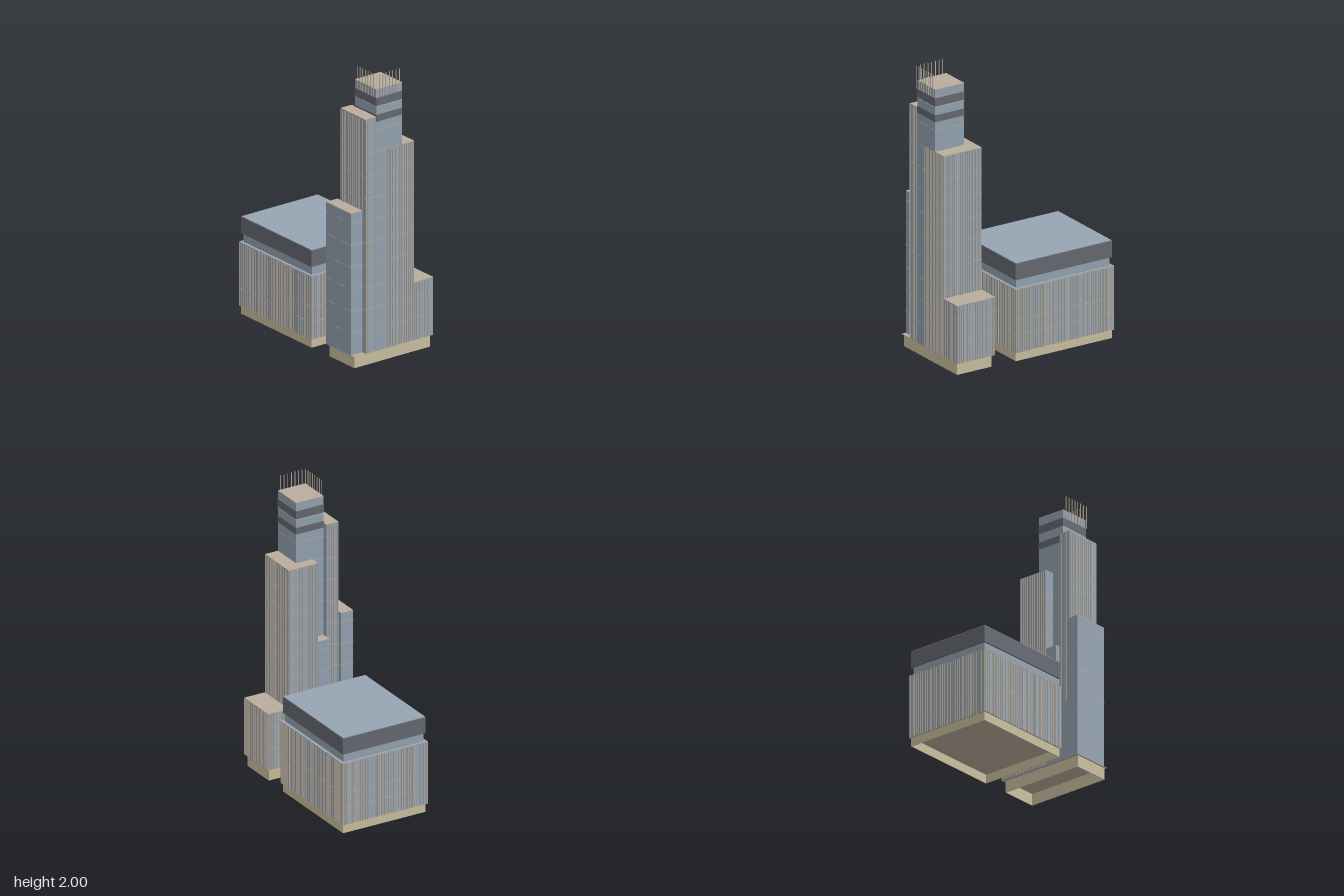
import * as THREE from 'three';
import { mergeGeometries } from 'three/addons/utils/BufferGeometryUtils.js';

const mat = (name, color) => Object.assign(new THREE.MeshStandardMaterial({ color }), { name });

export function createModel() {
  const model = new THREE.Group();
  model.name = 'officeComplex';
  const glass = mat('blueGreyGlass', 0x96a5b3);
  const tan = mat('tanTrim', 0xb9ad9d);
  const sand = mat('sandStone', 0xcbc0a0);
  const dark = mat('darkBand', 0x666a73);

  // small seeded generator for the uneven fin spacing
  let seed = 7;
  const rand = () => (seed = (seed * 16807) % 2147483647) / 2147483647;

  // box geometry from its limits
  const boxGeo = (x0, x1, y0, y1, z0, z1) =>
    new THREE.BoxGeometry(x1 - x0, y1 - y0, z1 - z0)
      .translate((x0 + x1) / 2, (y0 + y1) / 2, (z0 + z1) / 2);

  const add = (parent, name, material, geos) => {
    const mesh = new THREE.Mesh(Array.isArray(geos) ? mergeGeometries(geos) : geos, material);
    mesh.name = name;
    parent.add(mesh);
    return mesh;
  };

  // upright fins on a wall; axis is the direction in which the wall runs
  const fins = (axis, a0, a1, face, y0, y1, pitch = 0.018) => {
    const out = [];
    for (let a = a0 + 0.004; a < a1 - 0.002; a += pitch * (0.6 + 0.8 * rand())) {
      const w = 0.0022, d = 0.004;
      out.push(axis === 'x'
        ? boxGeo(a - w, a + w, y0, y1, face - d, face + d)
        : boxGeo(face - d, face + d, y0, y1, a - w, a + w));
    }
    return out;
  };

  // thin floor lines wrapping a block
  const floorLines = (x0, x1, z0, z1, levels, e = 0.0015) =>
    levels.map((y) => boxGeo(x0 - e, x1 + e, y - 0.002, y + 0.002, z0 - e, z1 + e));

  // hollow plinth, open below
  const plinth = (parent, x0, x1, z0, z1, h, t = 0.004) =>
    add(parent, 'plinth', sand, [
      boxGeo(x0, x1, 0, h, z0, z0 + t), boxGeo(x0, x1, 0, h, z1 - t, z1),
      boxGeo(x0, x0 + t, 0, h, z0, z1), boxGeo(x1 - t, x1, 0, h, z0, z1),
    ]);

  // ---- stepped tower ----
  const tower = new THREE.Group();
  tower.name = 'tower';
  model.add(tower);
  const Y0 = 0.085, Z0 = 0.312, Z1 = 0.606;
  plinth(tower, -0.31, 0.305, 0.33, 0.595, Y0 - 0.004);
  add(tower, 'towerFloorSlab', tan, boxGeo(-0.322, 0.321, Y0 - 0.004, Y0, Z0, Z1));

  // name, x0, x1, z0, z1, height
  const blocks = [
    ['lowWing', 0.165, 0.321, Z0, Z1, 0.485],
    ['sideWing', -0.322, -0.23, Z0, 0.575, 1.07],
    ['tallWing', -0.23, -0.14, 0.345, Z1, 1.71],
    ['crownShaft', -0.14, 0.067, 0.382, Z1, 1.9],
    ['mainWingBack', -0.055, 0.165, Z0, 0.382, 1.47],
    ['mainWing', 0.067, 0.165, 0.382, Z1, 1.47],
    ['rearStep', -0.14, -0.055, Z0, 0.382, 0.91],
    ['rearCorner', -0.23, -0.14, Z0, 0.345, 0.485],
  ];
  for (const [name, x0, x1, z0, z1, h] of blocks) {
    const g = new THREE.Group();
    g.name = name;
    tower.add(g);
    add(g, 'walls', glass, boxGeo(x0, x1, Y0, h - 0.004, z0, z1));
    add(g, 'roof', tan, boxGeo(x0, x1, h - 0.004, h, z0, z1));
    const levels = [];
    for (let y = 0.235; y < Math.min(h, 1.65) - 0.02; y += 0.1535) levels.push(y);
    add(g, 'floorLines', tan, floorLines(x0, x1, z0, z1, levels, 0.001));
  }

  // tower fins
  add(tower, 'frontFins', tan, [
    ...fins('x', -0.23, -0.14, Z1, Y0, 1.7, 0.02),
    ...fins('x', -0.055, 0.165, Z1, Y0, 1.465, 0.015),
    ...fins('x', 0.165, 0.32, Z1, Y0, 0.48, 0.02),
  ]);
  add(tower, 'rightFins', tan, [
    ...fins('z', Z0, Z1, 0.165, 0.48, 1.465),
    ...fins('z', Z0, Z1, 0.321, Y0, 0.48),
  ]);
  add(tower, 'rearFins', tan, [
    ...fins('x', -0.055, 0.165, Z0, Y0, 1.465),
    ...fins('x', 0.165, 0.321, Z0, Y0, 0.48),
    ...fins('x', -0.23, -0.14, 0.345, 0.485, 1.7, 0.022),
  ]);
  add(tower, 'leftFins', tan, fins('z', 0.345, Z1, -0.23, 1.07, 1.7, 0.022));

  // dark belts round the crown
  for (const [y0, y1] of [[1.675, 1.722], [1.783, 1.84]])
    add(tower, 'crownBelt', dark, boxGeo(-0.142, 0.069, y0, y1, 0.38, 0.608));
  add(tower, 'crownLine', tan, floorLines(-0.14, 0.067, 0.382, Z1, [1.778]));

  // rows of masts on the crown's front and left edges
  const masts = [];
  for (let i = 0; i < 8; i++) {
    const x = -0.143 + i * 0.0268, z = 0.609 - i * 0.0287, r = 0.0022;
    masts.push(boxGeo(x - r, x + r, 1.84, 2, 0.609 - r, 0.609 + r));
    if (i) masts.push(boxGeo(-0.143 - r, -0.143 + r, 1.84, 2, z - r, z + r));
  }
  add(tower, 'masts', tan, masts);

  // ---- low square building ----
  const hall = new THREE.Group();
  hall.name = 'lowBuilding';
  model.add(hall);
  const X = 0.321, HZ0 = -0.608, HZ1 = 0.153;
  plinth(hall, -0.312, 0.312, -0.6, 0.145, 0.06);
  add(hall, 'hallFloorSlab', tan, boxGeo(-X, X, 0.06, 0.064, HZ0, HZ1));
  add(hall, 'hallWalls', glass, boxGeo(-X, X, 0.064, 0.5, HZ0, HZ1));
  add(hall, 'hallFloorLines', tan, floorLines(-X, X, HZ0, HZ1, [0.18, 0.285, 0.497]));
  add(hall, 'hallFins', tan, [HZ0, HZ1].flatMap((z) => fins('x', -X, X, z, 0.06, 0.5))
    .concat([-X, X].flatMap((x) => fins('z', HZ0, HZ1, x, 0.06, 0.5))));
  add(hall, 'terrace', glass, boxGeo(-X - 0.002, X + 0.002, 0.499, 0.502, HZ0 - 0.002, HZ1 + 0.002));
  add(hall, 'setback', glass, boxGeo(-0.302, 0.302, 0.5, 0.56, -0.59, 0.135));
  add(hall, 'topStorey', dark, boxGeo(-0.312, 0.312, 0.56, 0.674, -0.6, 0.145));
  add(hall, 'hallRoof', glass, boxGeo(-0.31, 0.31, 0.672, 0.678, -0.598, 0.143));

  return model;
}
